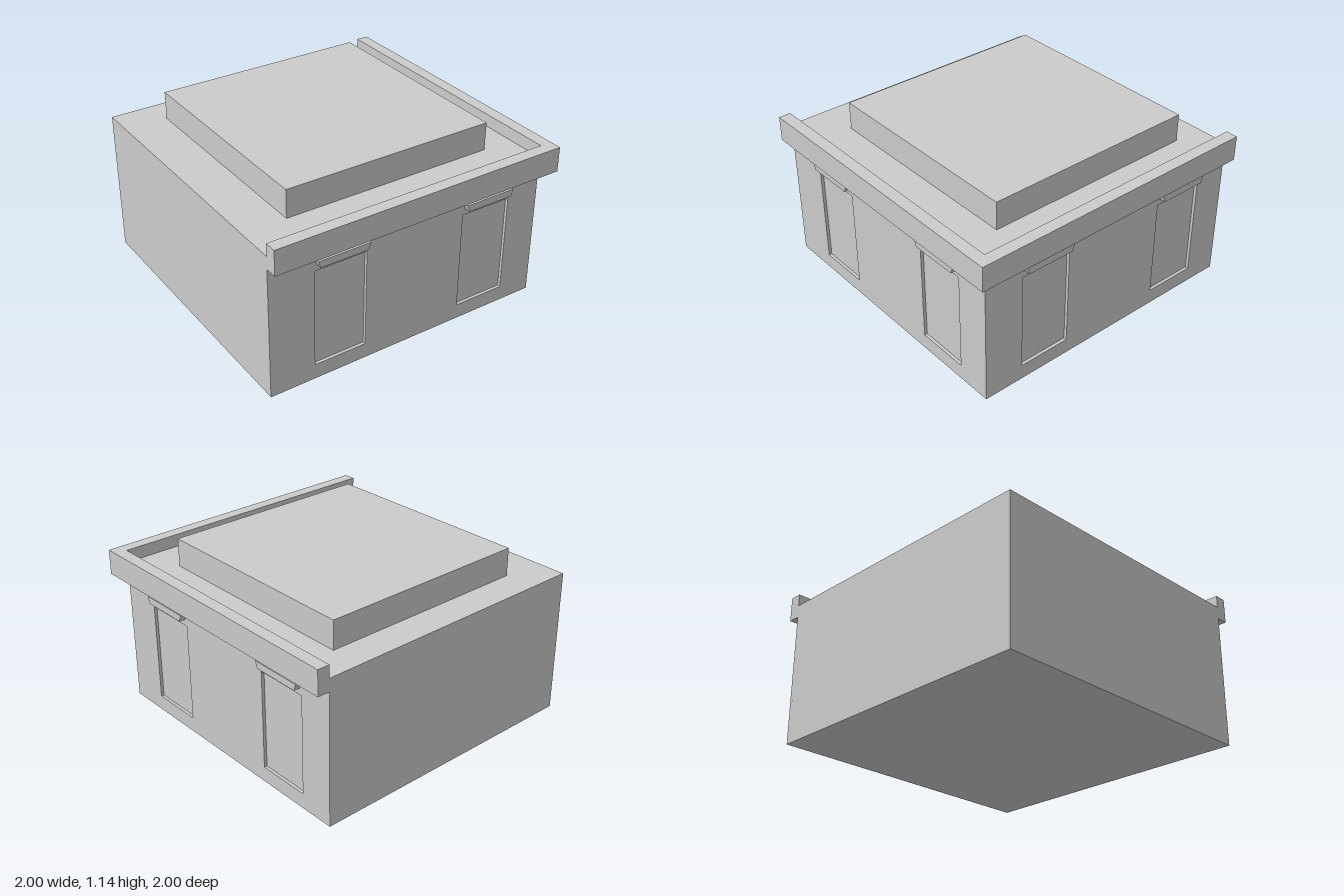
import * as THREE from 'three';

const material = new THREE.MeshStandardMaterial({ color: 0xcccccc, flatShading: true });
const WALL = 0.92, RECESS = 0.02, ROOF = 0.96;

function addMesh(parent, name, geometry) {
  const mesh = new THREE.Mesh(geometry, material);
  mesh.name = name;
  parent.add(mesh);
  return mesh;
}

// Box given by its minimum and maximum corners
function addBox(parent, name, min, max) {
  const size = max.map((v, i) => v - min[i]);
  const mesh = addMesh(parent, name, new THREE.BoxGeometry(...size));
  mesh.position.set(...max.map((v, i) => (v + min[i]) / 2));
}

const polygon = (points) => new THREE.Shape(points.map(([x, y]) => new THREE.Vector2(x, y)));
const rect = (x0, y0, x1, y1) => polygon([[x0, y0], [x1, y0], [x1, y1], [x0, y1]]);
const extrude = (shape, depth) => new THREE.ExtrudeGeometry(shape, { depth, bevelEnabled: false });

// Wall facing +z with recessed windows, each under a tapered ledge
function windowedWall(name, x0, x1, windowStarts) {
  const wall = new THREE.Group();
  wall.name = name;
  const face = rect(x0, 0, x1, ROOF);
  for (const x of windowStarts) {
    const end = x + 0.35;
    face.holes.push(rect(x, 0.1, end, 0.75));
    const profile = polygon([[x + 0.015, 0.79], [end - 0.015, 0.79], [end, 0.835], [x, 0.835]]);
    addMesh(wall, 'windowLedge', extrude(profile, 0.04)).position.z = WALL;
  }
  addMesh(wall, 'wallFace', extrude(face, RECESS)).position.z = WALL - RECESS;
  return wall;
}

export function createModel() {
  const model = new THREE.Group();
  model.name = 'cornerBuilding';

  // Solid core, whose front and left faces form the window panes
  const pane = WALL - RECESS;
  addBox(model, 'buildingCore', [-1, 0, -1], [pane, ROOF, pane]);

  // The two street walls
  model.add(windowedWall('frontWall', -1, WALL, [-0.7, 0.34]));
  const side = windowedWall('leftWall', -pane, 1, [-0.65, 0.42]);
  side.rotation.y = Math.PI / 2;
  model.add(side);

  // L-shaped parapet overhanging the street walls
  const corner = polygon([[-1, -1], [1, -1], [1, 1], [WALL, 1], [WALL, -WALL], [-1, -WALL]]);
  const parapet = addMesh(model, 'parapet', extrude(corner, 0.165));
  parapet.rotation.x = -Math.PI / 2;
  parapet.position.y = 0.877;

  // Raised block on the roof
  addBox(model, 'roofBlock', [-0.715, ROOF, -0.79], [0.707, 1.145, 0.66]);

  return model;
}
